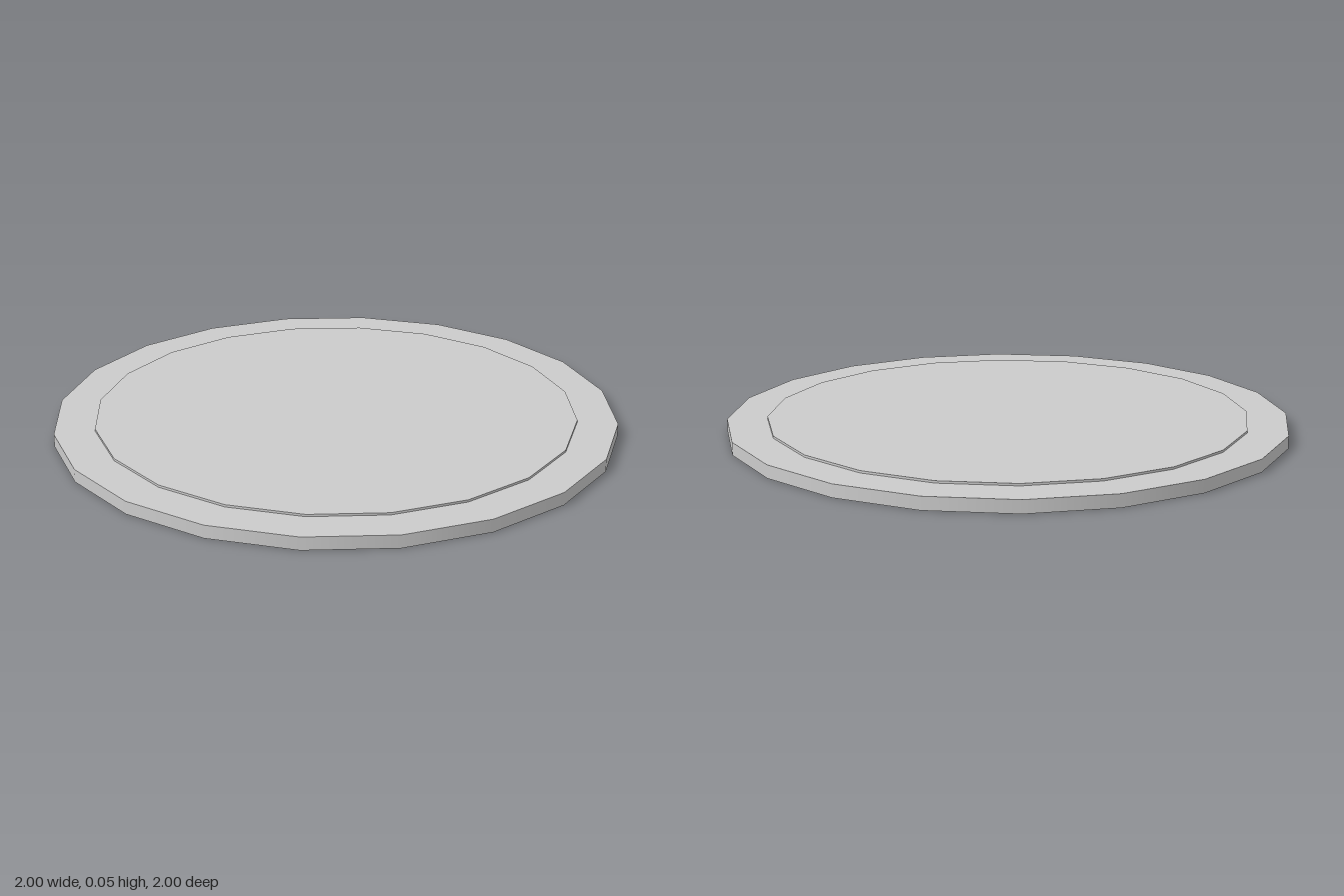
import * as THREE from 'three';

const SIDES = 20;

// Solid disc with smooth sides, standing from y = bottom to y = top
function disc(name, radius, bottom, top, material) {
  const geometry = new THREE.CylinderGeometry(radius, radius, top - bottom, SIDES);
  geometry.translate(0, (bottom + top) / 2, 0);
  const mesh = new THREE.Mesh(geometry, material);
  mesh.name = name;
  return mesh;
}

export function createModel() {
  const model = new THREE.Group();
  model.name = 'roundPlate';
  const grey = new THREE.MeshStandardMaterial({ color: 0xcccccc });

  // Wide base slab, then the thin raised panel on top of it
  model.add(disc('baseDisc', 1, 0, 0.046, grey));
  model.add(disc('raisedPanel', 0.857, 0.046, 0.054, grey));
  return model;
}
